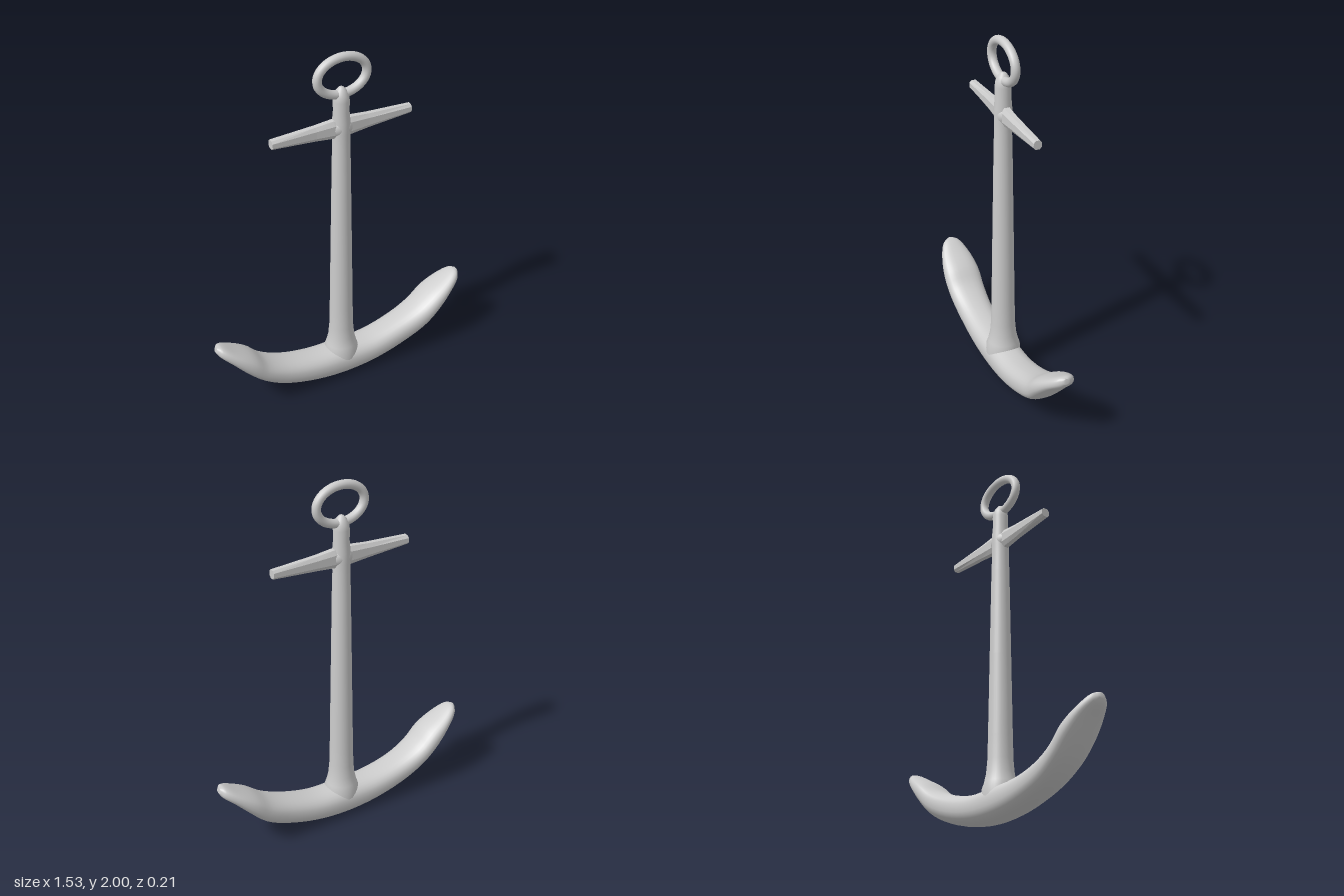
import * as THREE from 'three';

const material = new THREE.MeshStandardMaterial({ color: 0xcccccc, side: THREE.DoubleSide });

function addMesh(group, name, geometry) {
  const mesh = new THREE.Mesh(geometry, material);
  mesh.name = name;
  group.add(mesh);
  return mesh;
}

// Skin a list of equally sized closed rings; the end rings are capped.
function loft(rings) {
  const n = rings[0].length, points = rings.flat(), index = [];
  for (let i = 0; i < rings.length - 1; i++) {
    for (let j = 0; j < n; j++) {
      const a = i * n + j, b = i * n + (j + 1) % n;
      index.push(a, b, a + n, b, b + n, a + n);
    }
  }
  const last = (rings.length - 1) * n;
  for (let j = 1; j < n - 1; j++) {
    index.push(0, j + 1, j, last, last + j, last + j + 1);
  }
  const geometry = new THREE.BufferGeometry().setFromPoints(points);
  geometry.setIndex(index);
  geometry.computeVertexNormals();
  return geometry;
}

// Curved arms with flattened flukes: [top x, top y, bottom x, bottom y, half depth]
function armsGeometry() {
  const stations = [
    [-0.757, 0.452, -0.766, 0.425, 0.016],
    [-0.73, 0.452, -0.748, 0.395, 0.05],
    [-0.66, 0.412, -0.69, 0.335, 0.085],
    [-0.56, 0.35, -0.61, 0.245, 0.106],
    [-0.48, 0.275, -0.52, 0.16, 0.105],
    [-0.35, 0.215, -0.4, 0.085, 0.099],
    [-0.17, 0.18, -0.2, 0.025, 0.098],
    [0, 0.18, 0, 0.004, 0.098],
    [0.17, 0.18, 0.2, 0.025, 0.098],
    [0.35, 0.225, 0.4, 0.085, 0.099],
    [0.48, 0.282, 0.52, 0.15, 0.105],
    [0.57, 0.348, 0.61, 0.24, 0.106],
    [0.66, 0.4, 0.69, 0.325, 0.085],
    [0.73, 0.437, 0.747, 0.378, 0.05],
    [0.756, 0.436, 0.764, 0.408, 0.016],
  ];
  const top = new THREE.CatmullRomCurve3(stations.map(s => new THREE.Vector3(s[0], s[1], s[4])));
  const bottom = new THREE.CatmullRomCurve3(stations.map(s => new THREE.Vector3(s[2], s[3], s[4])));
  const rings = [], steps = 56, sides = 28;
  const bulge = v => Math.sign(v) * Math.pow(Math.abs(v), 0.85);
  for (let i = 0; i <= steps; i++) {
    const t = top.getPoint(i / steps), b = bottom.getPoint(i / steps), ring = [];
    for (let j = 0; j < sides; j++) {
      const a = j / sides * Math.PI * 2;
      const p = b.clone().lerp(t, 0.5 + 0.5 * bulge(Math.cos(a)));
      p.z = t.z * bulge(Math.sin(a));
      ring.push(p);
    }
    rings.push(ring);
  }
  return loft(rings);
}

// Tapered octagonal crossbar
function stockGeometry() {
  const stations = [
    [-0.392, 1.591, 0.024, 0.024, -0.009],
    [-0.15, 1.588, 0.04, 0.025, -0.004],
    [-0.05, 1.588, 0.05, 0.028, 0],
    [0.05, 1.588, 0.05, 0.028, 0],
    [0.15, 1.588, 0.04, 0.025, 0],
    [0.402, 1.591, 0.024, 0.022, 0.002],
  ];
  const outline = [[1, 0.5], [0.5, 1], [-0.5, 1], [-1, 0.5], [-1, -0.5], [-0.5, -1], [0.5, -1], [1, -0.5]];
  const rings = stations.map(([x, y, h, d, z]) =>
    outline.map(([u, v]) => new THREE.Vector3(x, y + u * h, z + v * d)));
  const geometry = loft(rings).toNonIndexed();
  geometry.computeVertexNormals();
  return geometry;
}

export function createModel() {
  const anchor = new THREE.Group();
  anchor.name = 'anchor';

  addMesh(anchor, 'armsAndFlukes', armsGeometry());

  // Tapered shank, flared into the arms and rounded off at its head
  const profile = [
    [0.095, 0.12], [0.094, 0.17], [0.084, 0.2], [0.073, 0.25], [0.067, 0.32], [0.064, 0.45],
    [0.057, 0.9], [0.049, 1.4], [0.046, 1.5], [0.047, 1.56], [0.047, 1.62], [0.042, 1.68],
    [0.043, 1.74], [0.039, 1.77], [0.028, 1.795], [0.014, 1.812], [0, 1.816],
  ].map(([r, y]) => new THREE.Vector2(r, y));
  addMesh(anchor, 'shank', new THREE.LatheGeometry(profile, 32));

  // Small collar where the crossbar grows out of the shank
  const collar = addMesh(anchor, 'stockCollar', new THREE.SphereGeometry(1, 24, 16));
  collar.scale.set(0.065, 0.055, 0.045);
  collar.position.y = 1.588;

  addMesh(anchor, 'stock', stockGeometry());

  // Oval ring through the head
  const path = Array.from({ length: 24 }, (_, i) => {
    const a = i / 24 * Math.PI * 2;
    return new THREE.Vector3(0.005 + 0.14 * Math.cos(a), 1.875 + 0.101 * Math.sin(a), 0);
  });
  addMesh(anchor, 'ring', new THREE.TubeGeometry(new THREE.CatmullRomCurve3(path, true), 64, 0.024, 14, true));

  return anchor;
}
